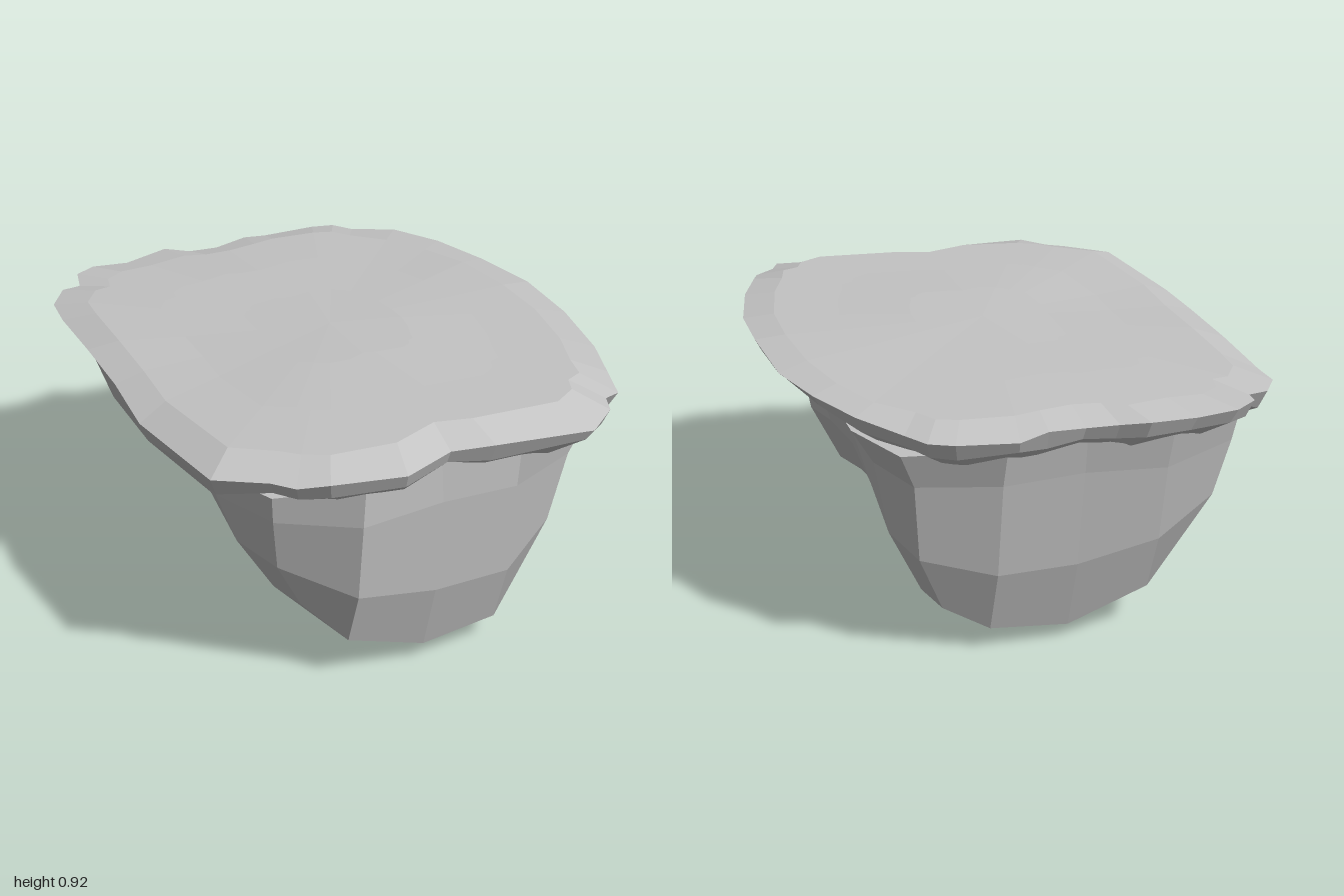
import * as THREE from 'three';

// Rim outline seen from above, [x, z], starting at the back right corner
const OUTLINE = [
  [-0.78, -0.73], [-0.71, -0.83], [-0.64, -0.84], [-0.62, -0.92], [-0.54, -0.97], [-0.4, -0.97],
  [-0.23, -1], [-0.14, -0.96], [-0.03, -0.95], [0.1, -0.97], [0.2, -0.99], [0.4, -0.97],
  [0.48, -0.94], [0.53, -0.86], [0.65, -0.73], [0.74, -0.53], [0.8, -0.3], [0.82, 0],
  [0.81, 0.27], [0.75, 0.55], [0.68, 0.73], [0.65, 0.84], [0.58, 0.87], [0.55, 0.94],
  [0.45, 1], [0.1, 0.97], [-0.04, 0.93], [-0.23, 1], [-0.48, 0.97], [-0.57, 0.92],
  [-0.63, 0.86], [-0.78, 0.75], [-0.83, 0.28], [-0.81, 0], [-0.8, -0.3], [-0.79, -0.6],
];

// Gently uneven height of the slab's top
const topHeight = (x, z) =>
  0.9 + 0.03 * x * (1 - z * z) + 0.012 * z - 0.014 * z * z +
  0.007 * Math.cos(x * 5) * (1 - z * z) + 0.003 * Math.sin(z * 7 + x * 4);

// Height of the outermost edge: high on the +x side, lower elsewhere
function edgeHeight(x, z) {
  const side = Math.max(0, 1 - Math.abs(z) * 0.9);
  return x > 0.5 ? 0.855 + 0.045 * Math.min(1, side * 1.6) : x < -0.7 ? 0.84 : 0.855;
}

// One shared normal for each pair of triangles, so every four-sided facet is evenly shaded
function facet(geometry) {
  geometry.deleteAttribute('uv');
  geometry.computeVertexNormals();
  const normals = geometry.attributes.normal;
  const sum = new THREE.Vector3();
  const part = new THREE.Vector3();
  for (let f = 0; f < normals.count; f += 6) {
    sum.fromBufferAttribute(normals, f);
    sum.add(part.fromBufferAttribute(normals, f + 3)).normalize();
    for (let v = f; v < f + 6; v++) normals.setXYZ(v, sum.x, sum.y, sum.z);
  }
  return geometry;
}

// Slab: rings running from under the lip, over the edge and in to the centre
function slabGeometry() {
  const isEnd = (z) => Math.abs(z) > 0.7;
  const rings = [
    OUTLINE.map(([x, z]) => [x * 0.75, isEnd(z) ? 0.71 : 0.75, z * 0.86]),
    OUTLINE.map(([x, z], i) =>
      [x * 0.97, edgeHeight(x, z) - (isEnd(z) ? 0.05 : 0.03) - 0.008 * (i % 2), z * 0.975]),
    OUTLINE.map(([x, z], i) => [x, edgeHeight(x, z) + 0.009 * Math.sin(i * 2.3), z]),
    ...[0.87, 0.6, 0.3, 0].map((s) =>
      OUTLINE.map(([x, z]) => [x * s, topHeight(x * s, z * s), z * s])),
  ];
  const n = OUTLINE.length;
  const points = [];
  for (let r = 0; r < rings.length - 1; r++) {
    for (let i = 0; i < n; i++) {
      const j = (i + 1) % n;
      const a = rings[r][i], b = rings[r][j], c = rings[r + 1][j], d = rings[r + 1][i];
      points.push(...b, ...a, ...d);
      if (r < rings.length - 2) points.push(...b, ...d, ...c);
    }
  }
  const g = new THREE.BufferGeometry();
  g.setAttribute('position', new THREE.Float32BufferAttribute(points, 3));
  return facet(g);
}

// Body: a subdivided box whose columns (i), rows (j) and stations (k) are moved into a trough shape
function bodyGeometry() {
  const left = [-0.5, -0.63, -0.69, -0.72];
  const right = [0.41, 0.52, 0.56, 0.63];
  const columns = [0, -0.34, -0.055, 0.22, 0];
  const floor = [0.25, 0.1, 0, 0.03, 0.15];
  const rowY = [
    null,
    [0.47, 0.37, 0.32, 0.32, 0.38],
    [0.68, 0.65, 0.67, 0.66, 0.66],
    [0.78, 0.8, 0.81, 0.8, 0.78],
  ];
  const bump = [0.055, 0, 0.035, 0.09, 0.07, 0.02, 0.065];
  const stations = [0, -0.58, -0.29, 0, 0.3, 0.57, 0];
  const endZ = { front: [0.82, 0.89, 0.92, 0.935], back: [0.76, 0.84, 0.89, 0.935] };
  const cornerZ = { front: [0.7, 0.75, 0.81, 0.83], back: [0.72, 0.77, 0.81, 0.83] };
  const arch = [0, 0.02, 0.07, 0.1, 0.07, 0.02, 0];

  const g = new THREE.BoxGeometry(4, 3, 6, 4, 3, 6).toNonIndexed();
  const p = g.attributes.position;
  for (let v = 0; v < p.count; v++) {
    const i = Math.round(p.getX(v) + 2);
    const j = Math.round(p.getY(v) + 1.5);
    const k = Math.round(p.getZ(v) + 3);
    const side = i === 0 || i === 4;
    const end = k === 0 || k === 6;
    let x = i === 0 ? left[j] : i === 4 ? right[j] : columns[i];
    let y = j === 0 ? floor[i] + bump[k] * (side ? 0.3 : 1) : rowY[j][i];
    let z = stations[k];
    if (side) {
      // Narrowed corners and an arched waist along the lower sides
      if (end) x *= 0.91 - 0.02 * j;
      if (j < 2) {
        y += arch[k];
        x *= 1 - arch[k] * 0.6;
      }
    }
    if (end) {
      const face = k === 6 ? 'front' : 'back';
      z = (side ? cornerZ : endZ)[face][j];
      // Notch in the middle of the rim
      if (i === 2 && j === 3) z -= 0.03;
      if (k === 0) z = -z;
    }
    p.setXYZ(v, x, y, z);
  }
  return facet(g);
}

export function createModel() {
  const stone = new THREE.MeshStandardMaterial({ color: 0xc3c3c3 });
  stone.name = 'grey stone';

  const group = new THREE.Group();
  group.name = 'rockLedge';
  const add = (name, geometry) => {
    const mesh = new THREE.Mesh(geometry, stone);
    mesh.name = name;
    group.add(mesh);
  };
  add('rockBody', bodyGeometry());
  add('topSlab', slabGeometry());
  return group;
}
